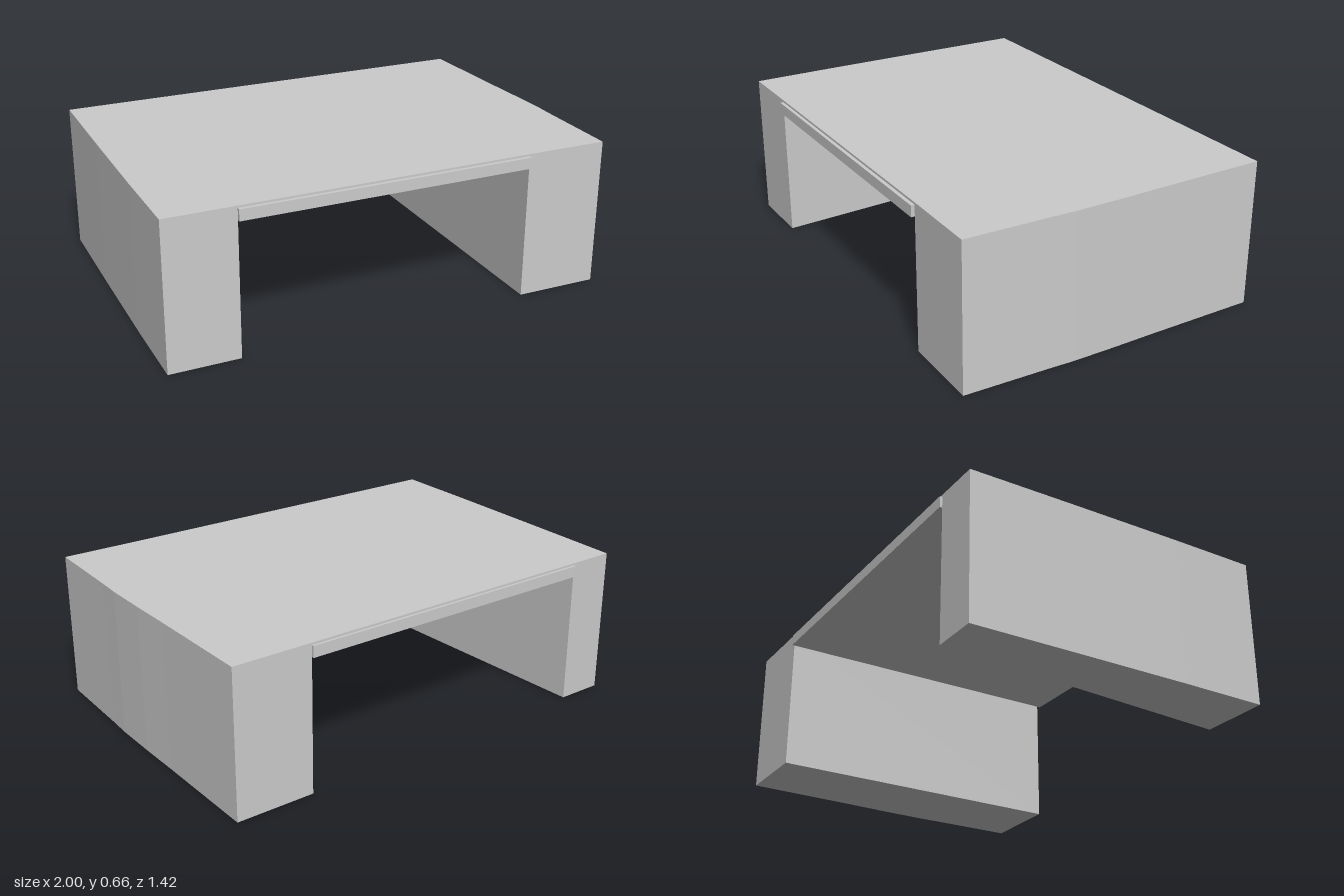
import * as THREE from 'three';

export function createModel() {
  const group = new THREE.Group();
  const material = new THREE.MeshStandardMaterial({ color: 0xcccccc, flatShading: true });

  // Extrudes a plan outline of [x, z] points upward from y0 to y1
  function slab(name, plan, y0, y1) {
    const shape = new THREE.Shape(plan.map(([x, z]) => new THREE.Vector2(x, -z)));
    const geometry = new THREE.ExtrudeGeometry(shape, { depth: y1 - y0, bevelEnabled: false });
    geometry.rotateX(-Math.PI / 2).translate(0, y0, 0);
    const mesh = new THREE.Mesh(geometry, material);
    mesh.name = name;
    group.add(mesh);
  }

  const height = 0.66, under = 0.6;

  // Outer walls: the left one bows gently, the right one leans slightly
  const leftWall = [[0.988, 0.696], [0.996, 0.31], [1, 0.2], [0.998, 0], [0.993, -0.2], [0.985, -0.7]];
  const rightWall = [[-0.988, -0.694], [-0.995, -0.2], [-1, 0.3], [-1, 0.69]];

  // Inner faces of the supports, front then back
  const leftInner = [[0.62, 0.692], [0.63, -0.699]];
  const rightInner = [[-0.69, 0.69], [-0.78, -0.695]];

  // Supports and the deck spanning between them
  slab('leftSupport', [...leftWall, leftInner[1], leftInner[0]], 0, height);
  slab('rightSupport', [...rightWall, rightInner[0], rightInner[1]], 0, height);
  slab('deck', [leftInner[0], leftInner[1], rightInner[1], rightInner[0]], under, height);

  // Thin trim strips along both open edges
  slab('frontStrip', [[-0.69, 0.68], [-0.69, 0.705], [0.62, 0.708], [0.62, 0.68]], under, 0.65);
  slab('backStrip', [[-0.78, -0.68], [0.63, -0.68], [0.63, -0.71], [-0.78, -0.706]], under, 0.65);

  return group;
}
